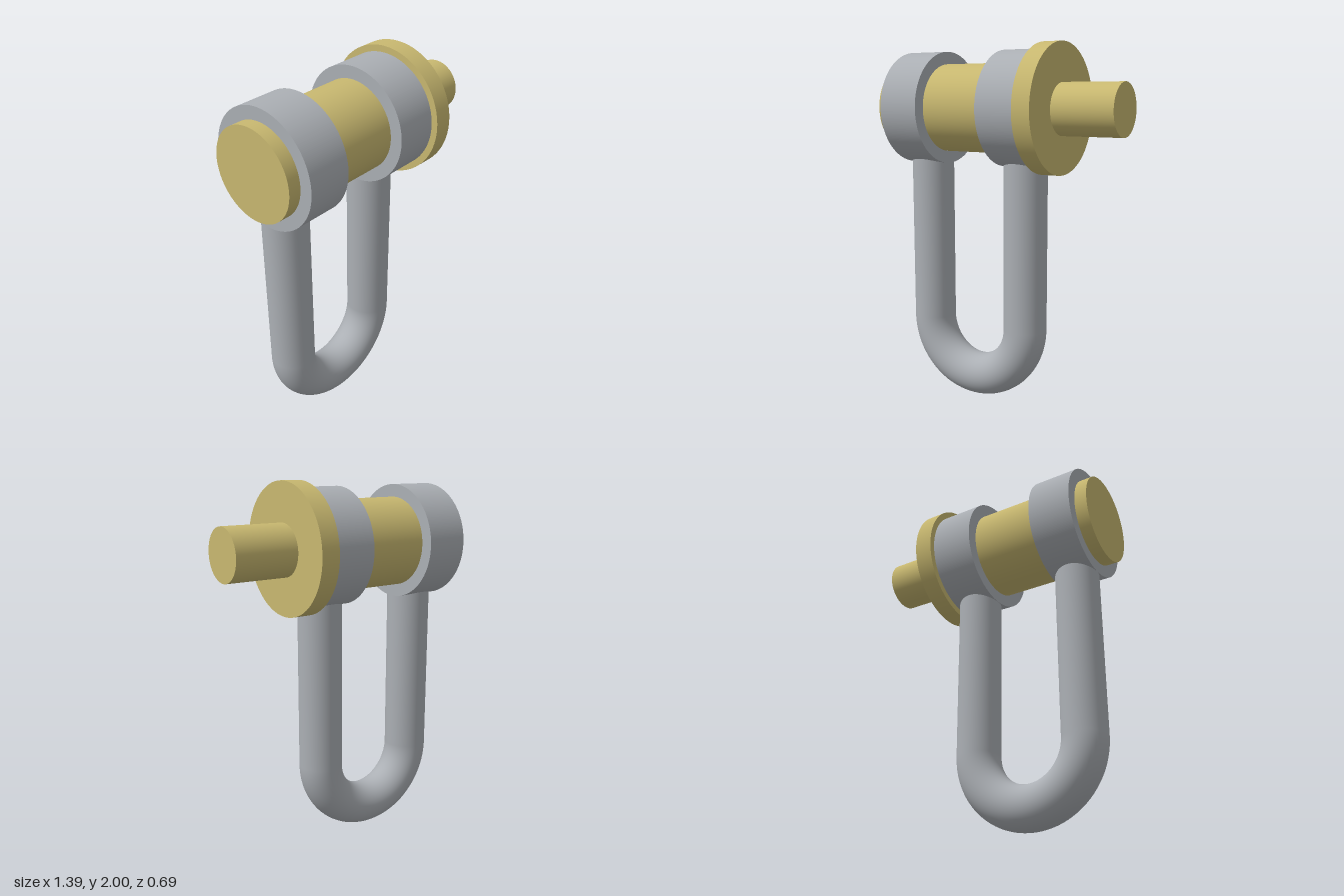
import * as THREE from 'three';

const PIN_Y = 1.655;   // height of the pin axis
const ROD = 0.12;      // bow rod radius
const BEND_X = -0.193; // middle of the bow
const BEND_Y = 0.434;  // where the bend begins
const BEND_R = 0.314;  // bend radius to the rod centre

export function createModel() {
  const brass = new THREE.MeshStandardMaterial({ color: 0xc8b870 });
  brass.name = 'brass';
  const steel = new THREE.MeshStandardMaterial({ color: 0xabafb4 });
  steel.name = 'steel';

  const model = new THREE.Group();
  model.name = 'shackle';

  const add = (parent, name, geometry, material, x, y) => {
    const mesh = new THREE.Mesh(geometry, material);
    mesh.name = name;
    mesh.position.set(x, y, 0);
    parent.add(mesh);
    return mesh;
  };

  // Pin: shaft, flange and stud turned about the x axis
  const pin = new THREE.Group();
  pin.name = 'pin';
  model.add(pin);
  for (const [name, x0, x1, r] of [
    ['pinShaft', -0.697, 0.242, 0.243],
    ['pinFlange', 0.242, 0.345, 0.346],
    ['pinStud', 0.345, 0.694, 0.139],
  ]) {
    const geometry = new THREE.CylinderGeometry(r, r, x1 - x0, 96).rotateZ(-Math.PI / 2);
    add(pin, name, geometry, brass, (x0 + x1) / 2, PIN_Y);
  }

  // Bow: half-ring bend, two straight legs and an eye on each
  const bow = new THREE.Group();
  bow.name = 'bow';
  model.add(bow);
  const bend = new THREE.TorusGeometry(BEND_R, ROD, 48, 64, Math.PI).rotateZ(Math.PI);
  add(bow, 'bowBend', bend, steel, BEND_X, BEND_Y);

  const legTop = 1.39;
  for (const [side, sign] of [['right', -1], ['left', 1]]) {
    const x = BEND_X + sign * BEND_R;
    const leg = new THREE.CylinderGeometry(ROD, ROD, legTop - BEND_Y, 48);
    add(bow, side + 'Leg', leg, steel, x, (legTop + BEND_Y) / 2);

    // Eye: flat-faced ring around the pin
    const ring = new THREE.Shape().absarc(0, 0, 0.311, 0, Math.PI * 2, false);
    ring.holes.push(new THREE.Path().absarc(0, 0, 0.243, 0, Math.PI * 2, true));
    const w = 0.242;
    const eye = new THREE.ExtrudeGeometry(ring, { depth: w, bevelEnabled: false, curveSegments: 128 })
      .translate(0, 0, -w / 2)
      .rotateY(Math.PI / 2);
    add(bow, side + 'Eye', eye, steel, x, PIN_Y);
  }

  return model;
}
